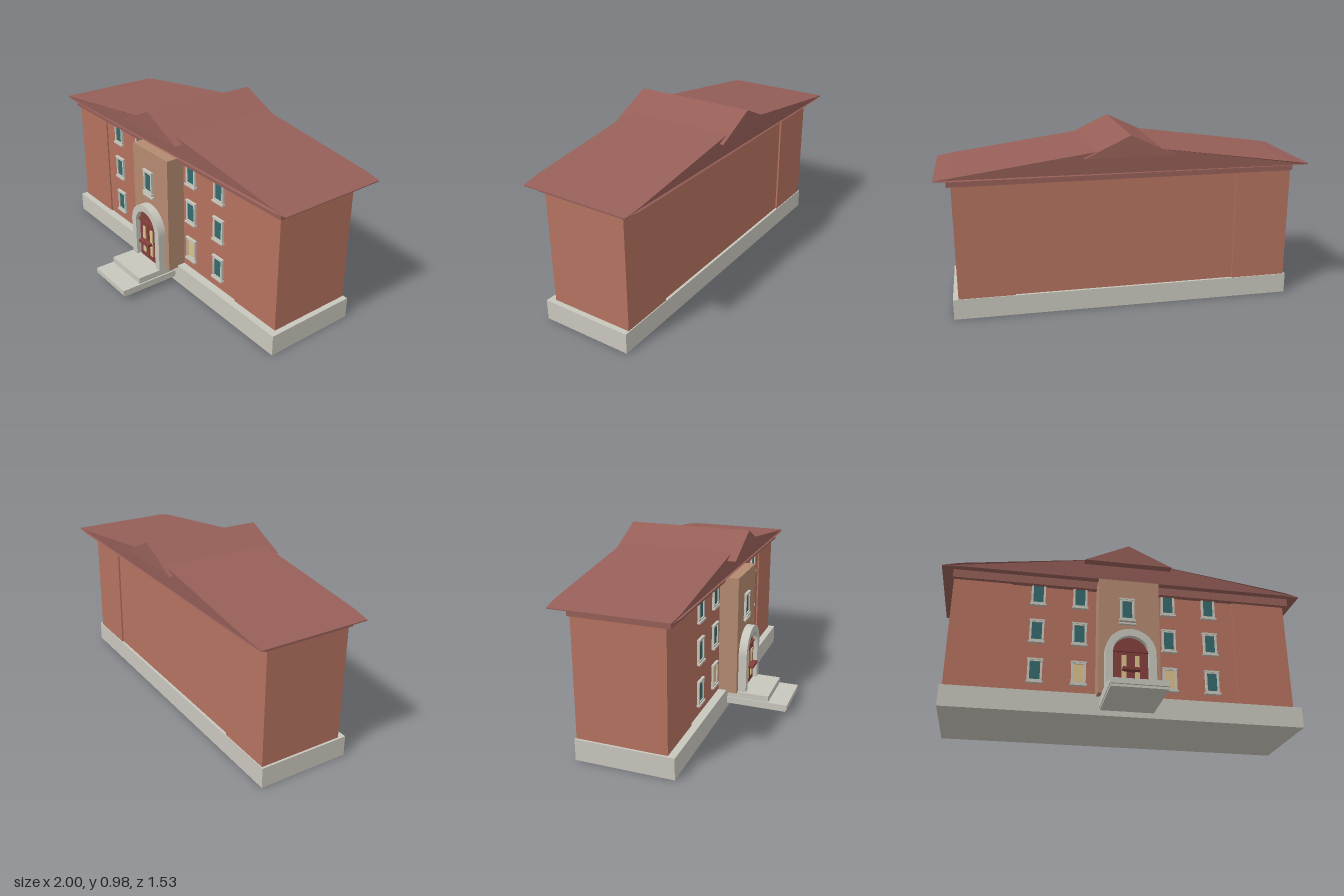
import * as THREE from 'three';

const mat = (color) => new THREE.MeshStandardMaterial({ color });

export function createModel() {
  const model = new THREE.Group();
  model.name = 'building';
  // the whole building stands turned on its plot
  const house = new THREE.Group();
  house.name = 'house';
  house.rotation.y = THREE.MathUtils.degToRad(-31.1);
  model.add(house);

  const brick = mat(0xb4725f), roofRed = mat(0x965f58), stone = mat(0xc8c6bc);
  const tan = mat(0xb48a70), glass = mat(0x356a6c), cream = mat(0xdcc08c), doorRed = mat(0x83403c);

  const add = (name, geometry, material, parent = house) => {
    const mesh = new THREE.Mesh(geometry, material);
    mesh.name = name;
    parent.add(mesh);
    return mesh;
  };
  // box given by its limits along each axis
  const box = (name, material, [x0, x1], [y0, y1], [z0, z1], parent = house) => {
    const mesh = add(name, new THREE.BoxGeometry(x1 - x0, y1 - y0, z1 - z0), material, parent);
    mesh.position.set((x0 + x1) / 2, (y0 + y1) / 2, (z0 + z1) / 2);
    return mesh;
  };
  // outline in x and y, extruded from z0 to z1
  const slab = (name, material, shape, z0, z1, parent = house) => {
    const geometry = new THREE.ExtrudeGeometry(shape, { depth: z1 - z0, bevelEnabled: false, curveSegments: 16 });
    const mesh = add(name, geometry, material, parent);
    mesh.position.z = z0;
    return mesh;
  };
  const outline = (points) => new THREE.Shape(points.map(([x, y]) => new THREE.Vector2(x, y)));

  // plinth, walls and slightly projecting end bays
  box('plinth', stone, [-0.937, 0.937], [0, 0.112], [-0.225, 0.288]);
  box('mainWalls', brick, [-0.9, 0.9], [0.105, 0.74], [-0.21, 0.242]);
  for (const side of [-1, 1]) {
    const xs = side < 0 ? [-0.925, -0.615] : [0.605, 0.908];
    box(side < 0 ? 'rightEndBay' : 'leftEndBay', brick, xs, [0.107, 0.738], [-0.22, 0.25]);
  }
  box('cornice', roofRed, [-0.93, 0.93], [0.73, 0.778], [-0.235, 0.272]);

  // low main roof, slightly wider near the middle than at its tips
  const mainRoof = slab('mainRoof', roofRed,
    outline([[-0.99, 0.776], [-0.9, 0.776], [0.9, 0.776], [0.99, 0.776], [0.99, 0.781], [0.9, 0.795], [0, 0.92], [-0.9, 0.795], [-0.99, 0.781]]),
    -0.308, 0.308);
  const p = mainRoof.geometry.attributes.position;
  for (let i = 0; i < p.count; i++) {
    if (Math.abs(p.getX(i)) > 0.95) p.setZ(i, 0.308 + (p.getZ(i) - 0.308) * 0.967);
  }
  mainRoof.geometry.computeVertexNormals();
  // steeper cross gable over the middle
  slab('crossGable', roofRed, outline([[-0.24, 0.865], [0.24, 0.865], [0, 0.977]]), -0.325, 0.348);

  // entrance bay
  box('entranceBay', tan, [-0.162, 0.162], [0.1, 0.755], [0.2, 0.345]);

  // framed window with sill and lintel, front plane at z
  const addWindow = (x, y, z, pane) => {
    const w = new THREE.Group();
    w.name = 'window';
    w.position.set(x, y, z);
    house.add(w);
    const frame = outline([[-0.038, -0.063], [0.038, -0.063], [0.038, 0.063], [-0.038, 0.063]]);
    frame.holes.push(outline([[-0.027, -0.05], [-0.027, 0.05], [0.027, 0.05], [0.027, -0.05]]));
    slab('windowFrame', stone, frame, -0.01, 0.01, w);
    box('windowPane', pane, [-0.03, 0.03], [-0.055, 0.055], [-0.01, 0.004], w);
    box('windowSill', stone, [-0.043, 0.043], [-0.07, -0.059], [-0.01, 0.016], w);
    box('windowLintel', stone, [-0.041, 0.041], [0.057, 0.066], [-0.01, 0.013], w);
  };
  for (const x of [-0.475, -0.25, 0.235, 0.465]) {
    [0.237, 0.462, 0.682].forEach((y, row) => {
      addWindow(x, y, 0.244, row === 0 && Math.abs(x) < 0.3 ? cream : glass);
    });
  }
  const upper = [-0.012, 0.575, 0.347];
  addWindow(...upper, glass);
  box('upperWindowLedge', stone, [-0.058, 0.034], [0.487, 0.496], [0.34, 0.36]);

  // arched stone surround and door
  const spring = 0.312;
  const archShape = (r) => {
    const s = new THREE.Shape();
    s.moveTo(-r, 0.1);
    s.lineTo(r, 0.1);
    s.lineTo(r, spring);
    s.absarc(0, spring, r, 0, Math.PI, false);
    s.closePath();
    return s;
  };
  const surround = outline([[-0.132, 0.1], [-0.093, 0.1], [-0.093, spring]]);
  surround.absarc(0, spring, 0.093, Math.PI, 0, true);
  surround.lineTo(0.093, 0.1);
  surround.lineTo(0.132, 0.1);
  surround.lineTo(0.132, spring);
  surround.absarc(0, spring, 0.132, 0, Math.PI, false);
  slab('archSurround', stone, surround, 0.335, 0.39);
  slab('doorway', doorRed, archShape(0.095), 0.335, 0.362);
  box('doorTransom', doorRed, [-0.093, 0.093], [0.322, 0.335], [0.355, 0.372]);
  for (const side of [-1, 1]) {
    box('doorLeaf', doorRed, side < 0 ? [-0.078, -0.003] : [0.003, 0.078], [0.105, 0.318], [0.355, 0.37]);
    box('doorPanel', cream, side < 0 ? [-0.046, -0.023] : [0.023, 0.046], [0.14, 0.3], [0.36, 0.376]);
  }
  box('doorBar', doorRed, [-0.045, 0.045], [0.21, 0.225], [0.37, 0.405]);

  // entrance steps
  box('upperStep', stone, [-0.142, 0.13], [0.065, 0.102], [0.25, 0.52]);
  box('lowerStep', stone, [-0.147, 0.138], [0.04, 0.068], [0.25, 0.625]);
  box('stepBase', stone, [-0.143, 0.134], [0.028, 0.042], [0.25, 0.615]);

  return model;
}
